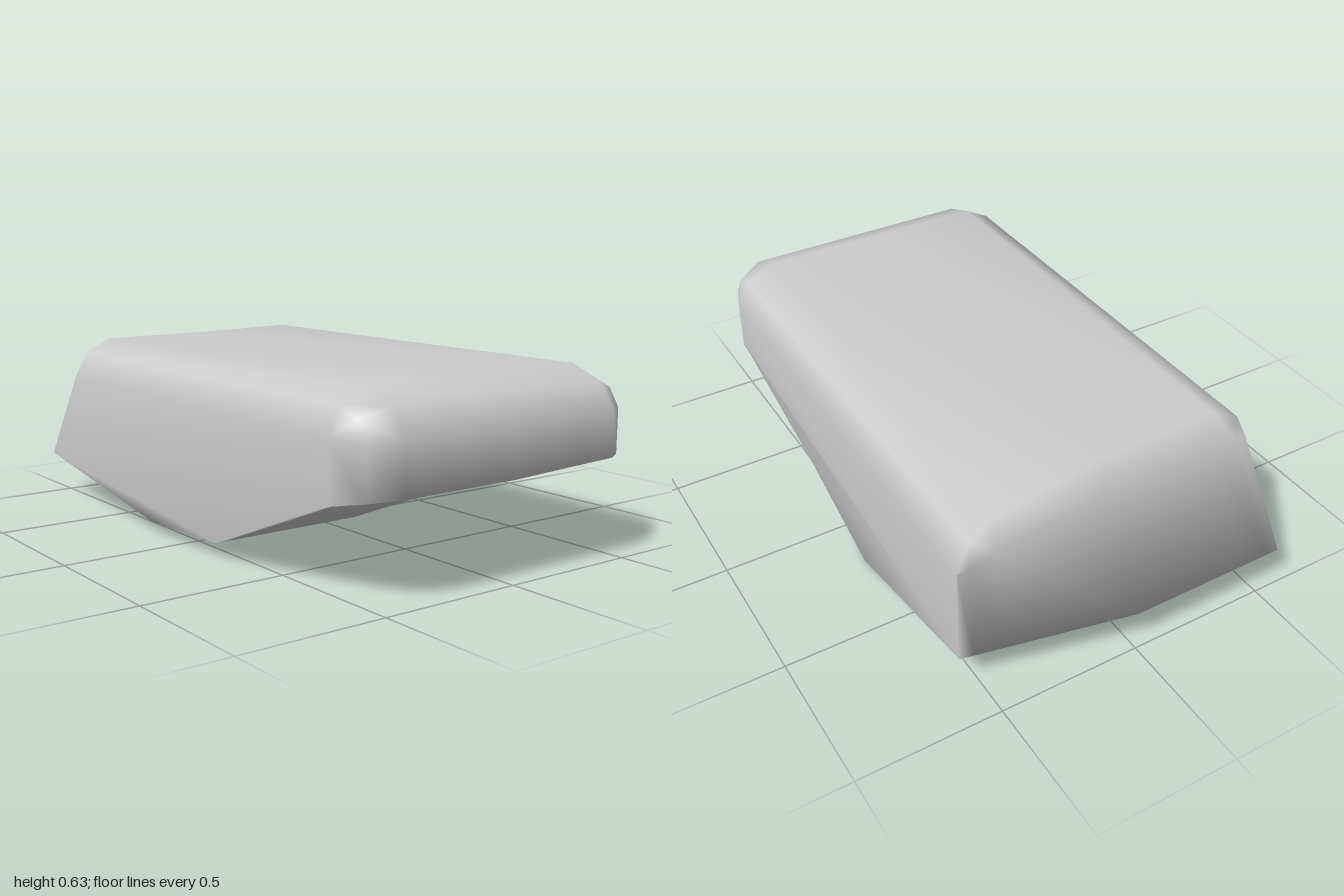
import * as THREE from 'three';
import { mergeVertices } from 'three/addons/utils/BufferGeometryUtils.js';

const stone = new THREE.MeshStandardMaterial({ color: 0xcccccc, side: THREE.DoubleSide });
stone.name = 'pale grey stone';

// Slices from front to back: [z, k], where k shrinks to 0 as the rounded rim closes
const slices = [
  [0.57, 0], [0.525, 0.65], [0.43, 1], [0, 1], [-0.43, 1], [-0.525, 0.65], [-0.57, 0],
];

// One outline of the slab, counter-clockwise seen from the front
function outline([z, k]) {
  const t = Math.max(0, -z / 0.57); // the rear half is skewed
  const top = 0.49 + 0.14 * k;
  const right = 0.82 + 0.18 * k;
  return [
    [-1 + 0.14 * t, 0.16 - 0.02 * t],            // lower left edge
    [-0.2, 0.04 - 0.037 * t],                    // keel
    [0.22, 0.055 + 0.1 * t],                     // start of the rising underside
    [0.82, 0.295 + 0.03 * t],
    [right, 0.295 + 0.035 * k + 0.02 * t],       // right end
    [right, 0.49],
    [0.82 + 0.12 * k, 0.49 + 0.095 * k],         // rounded upper rim
    [0.82, top],
    [-0.765 - 0.085 * t, top],                   // broken left end
    [-0.77 - 0.085 * t, 0.49],
  ].map(([x, y]) => [x, y, z]);
}

function slabGeometry() {
  const rings = slices.map(outline);
  const n = rings[0].length;
  const index = [];
  // Skin between neighbouring slices
  for (let r = 0; r < rings.length - 1; r++) {
    for (let i = 0; i < n; i++) {
      const j = (i + 1) % n;
      const a = r * n + i, b = r * n + j, c = b + n, d = a + n;
      index.push(a, d, b, b, d, c);
    }
  }
  // Flat front and back faces
  const back = (rings.length - 1) * n;
  for (let i = 1; i < n - 1; i++) {
    index.push(0, i, i + 1, back, back + i + 1, back + i);
  }
  let geometry = new THREE.BufferGeometry();
  geometry.setAttribute('position', new THREE.Float32BufferAttribute(rings.flat(2), 3));
  geometry.setIndex(index);
  geometry = mergeVertices(geometry, 1e-4);
  geometry.computeVertexNormals();
  return geometry;
}

export function createModel() {
  const model = new THREE.Group();
  model.name = 'stoneSlab';
  const slab = new THREE.Mesh(slabGeometry(), stone);
  slab.name = 'slab';
  model.add(slab);
  return model;
}
